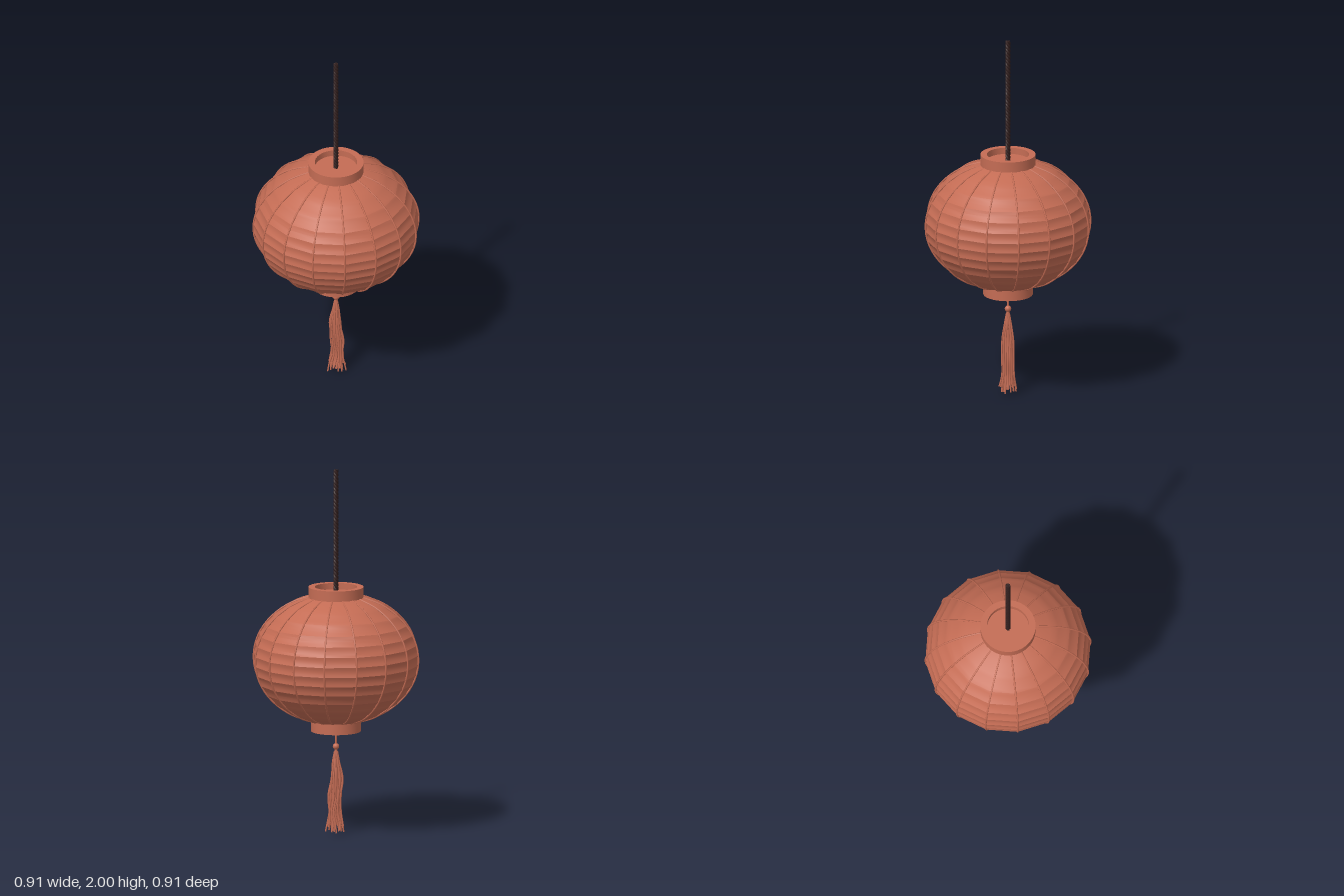
import * as THREE from 'three';
import { toCreasedNormals, mergeGeometries } from 'three/addons/utils/BufferGeometryUtils.js';

const SIDES = 16, MID_Y = 0.96, BODY_R = 0.452, BODY_H = 0.36;

export function createModel() {
  const model = new THREE.Group();
  const red = new THREE.MeshStandardMaterial({ color: 0xc46c54 });
  red.name = 'lantern red';
  const dark = new THREE.MeshStandardMaterial({ color: 0x33201f });
  dark.name = 'dark cord';

  const add = (name, geometry, material) => {
    const mesh = new THREE.Mesh(geometry, material);
    mesh.name = name;
    model.add(mesh);
    return mesh;
  };
  const vec = (x, y, z) => new THREE.Vector3(x, y, z);
  const lathe = (pts, sides) => toCreasedNormals(
    new THREE.LatheGeometry(pts.map(([r, y]) => new THREE.Vector2(r, y)), sides), 0.35);
  const tube = (pts, segs, r, sides) =>
    new THREE.TubeGeometry(new THREE.CatmullRomCurve3(pts), segs, r, sides, false);
  const radiusAt = (y) => BODY_R * Math.sqrt(Math.max(0, 1 - ((y - MID_Y) / BODY_H) ** 2));

  // Paper shade: cloth sags slightly between horizontal hoops
  const bands = 13, low = 0.608, high = 1.308, steps = 4;
  const profile = [];
  for (let i = 0; i <= bands * steps; i++) {
    const y = low + (high - low) * i / (bands * steps);
    const sag = 0.006 * Math.sin(Math.PI * (i % steps) / steps);
    profile.push([radiusAt(y) - sag, y]);
  }
  add('shade', lathe(profile, SIDES), red);

  // Vertical ribs along the corners of the shade
  const ribs = [];
  for (let k = 0; k < SIDES; k++) {
    const a = k / SIDES * Math.PI * 2;
    const pts = [];
    for (let i = 0; i <= 16; i++) {
      const y = low + (high - low) * i / 16;
      const r = radiusAt(y);
      pts.push(vec(Math.sin(a) * r, y, Math.cos(a) * r));
    }
    ribs.push(tube(pts, 32, 0.005, 6));
  }
  add('ribs', mergeGeometries(ribs), red);

  // Collars, each recessed to a flat disc
  add('topCollar', lathe([[0.15, 1.28], [0.15, 1.355], [0.115, 1.355], [0.115, 1.32], [0, 1.32]], 32), red);
  add('bottomCollar', lathe([[0, 0.59], [0.105, 0.59], [0.105, 0.56], [0.135, 0.56], [0.135, 0.625]], 32), red);

  // Hanging rope twisted from three strands
  const strands = [];
  for (let s = 0; s < 3; s++) {
    const pts = [];
    for (let i = 0; i <= 88; i++) {
      const a = i / 8 * Math.PI * 2 + s * Math.PI * 2 / 3;
      pts.push(vec(Math.cos(a) * 0.007, 1.31 + 0.69 * i / 88, Math.sin(a) * 0.007));
    }
    strands.push(tube(pts, 176, 0.0075, 7));
  }
  add('rope', mergeGeometries(strands), dark);
  const ropeEnd = add('ropeEnd', new THREE.CircleGeometry(0.012, 12), dark);
  ropeEnd.rotation.x = -Math.PI / 2;
  ropeEnd.position.y = 1.999;

  // Tassel cord, knot and neck
  add('tasselCord', new THREE.CylinderGeometry(0.005, 0.005, 0.12, 8), red).position.y = 0.535;
  const knot = add('tasselKnot', new THREE.SphereGeometry(0.018, 14, 10), red);
  knot.position.y = 0.475;
  add('tasselNeck', lathe([[0, 0.36], [0.018, 0.37], [0.016, 0.41], [0.01, 0.44], [0.009, 0.47]], 12), red);

  // Wavy tassel threads in a golden-angle spread
  const threads = [];
  const count = 34;
  for (let i = 0; i < count; i++) {
    const a = i * 2.39996;
    const f = Math.sqrt((i + 0.5) / count);
    const wave = Math.sin(i * 4.7) * 0.005;
    const at = (r, y, dx) => vec(Math.cos(a) * f * r + dx, y, Math.sin(a) * f * r);
    const end = i === 30 ? 0 : 0.022 + 0.018 * Math.sin(i * 7.3);
    threads.push(tube([
      at(0.008, 0.45, 0), at(0.02, 0.39, 0), at(0.034, 0.3, -0.002 + wave),
      at(0.037, 0.2, 0.005 - wave), at(0.036, 0.11, 0.009 + wave),
      at(0.045, 0.06, 0.005), at(0.053, end, 0.004 - wave),
    ], 20, 0.0045, 6));
  }
  add('tasselThreads', mergeGeometries(threads), red);

  return model;
}
